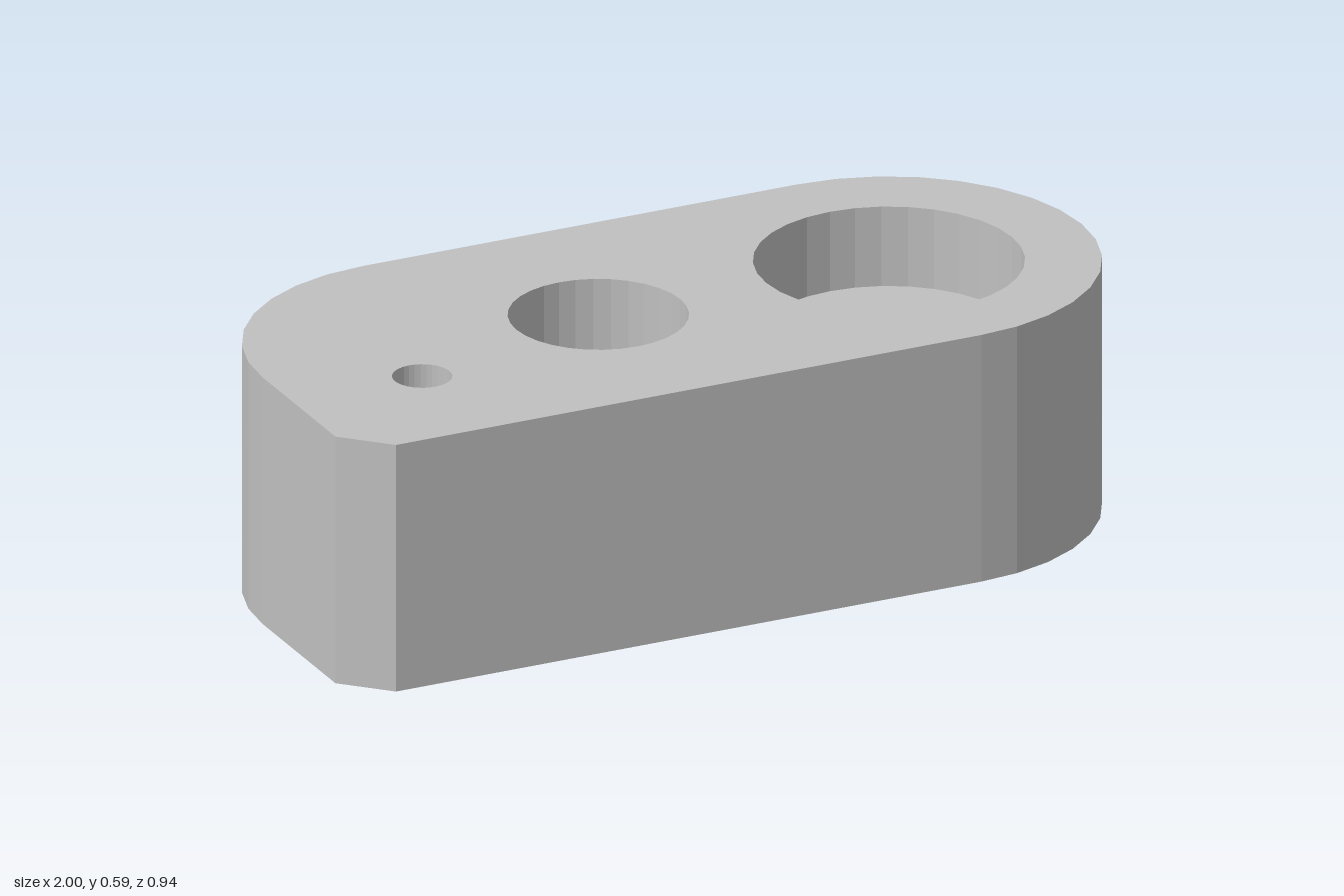
import * as THREE from 'three';

const H = 0.59, R = 0.47, CX = 0.53;        // block height, end radius, end centre
const SLOT_H = 0.175, SLOT_END = -0.213;    // slot height and its blind end
const SLOT_L = -0.748, SLOT_R = -0.613;     // slot sides
const POCKET = 0.19;                        // depth of both blind pockets

const steel = new THREE.MeshStandardMaterial({ color: 0xc0c0c0 });
steel.name = 'grey';

// Plan points are (x, -z), counter-clockwise seen from above.
function arc(cx, cy, r, from, to, n) {
  const pts = [];
  for (let i = 0; i <= n; i++) {
    const a = THREE.MathUtils.degToRad(from + (to - from) * i / n);
    pts.push(new THREE.Vector2(cx + r * Math.cos(a), cy + r * Math.sin(a)));
  }
  return pts;
}
const circle = (cx, cy, r) => arc(cx, cy, r, 0, 360, 32).slice(0, -1);
const v = (x, y) => new THREE.Vector2(x, y);

// Vertical faceted wall along a closed loop; inward for holes
function wall(name, loop, y0, y1, inward = false) {
  const pts = inward ? [...loop].reverse() : loop;
  const pos = [];
  pts.forEach((a, i) => {
    const b = pts[(i + 1) % pts.length];
    pos.push(a.x, y0, -a.y, b.x, y0, -b.y, b.x, y1, -b.y);
    pos.push(a.x, y0, -a.y, b.x, y1, -b.y, a.x, y1, -a.y);
  });
  const geo = new THREE.BufferGeometry();
  geo.setAttribute('position', new THREE.Float32BufferAttribute(pos, 3));
  geo.computeVertexNormals();
  const mesh = new THREE.Mesh(geo, steel);
  mesh.name = name;
  return mesh;
}

// Horizontal face with holes, facing up or down
function cap(name, loop, holes, y, down = false) {
  const shape = new THREE.Shape(loop);
  shape.holes = holes.map((h) => new THREE.Path(h));
  const geo = new THREE.ShapeGeometry(shape);
  geo.rotateX(-Math.PI / 2);
  if (down) {
    const idx = geo.index.array;
    for (let i = 0; i < idx.length; i += 3) [idx[i], idx[i + 1]] = [idx[i + 1], idx[i]];
    geo.computeVertexNormals();
  }
  const mesh = new THREE.Mesh(geo, steel);
  mesh.name = name;
  mesh.position.y = y;
  return mesh;
}

export function createModel() {
  const model = new THREE.Group();
  model.name = 'bracketBlock';

  // Outline: round end, one rounded back corner, one chamfered front corner
  const corner = arc(-CX, 0, R, 90, 180, 8);
  const before = [v(-0.9, -R), ...arc(CX, 0, R, -90, 90, 16)];
  const outline = [...before, ...corner, v(-1, -0.37)];

  // Where the slot sides meet the facets of the rounded corner
  const onCorner = (x) => {
    const i = corner.findIndex((p) => p.x < x);
    const a = corner[i - 1], b = corner[i];
    return a.clone().lerp(b, (x - a.x) / (b.x - a.x));
  };
  const mouthR = onCorner(SLOT_R), mouthL = onCorner(SLOT_L);
  const endR = v(SLOT_R, SLOT_END), endL = v(SLOT_L, SLOT_END);
  const slotted = [
    ...before, ...corner.filter((p) => p.x > SLOT_R), mouthR, endR, endL, mouthL,
    ...corner.filter((p) => p.x < SLOT_L), v(-1, -0.37),
  ];
  const slotPlan = [endL, endR, mouthR,
    ...corner.filter((p) => p.x < SLOT_R && p.x > SLOT_L), mouthL];

  const pocket = circle(CX, 0, 0.3);
  const bore = circle(-0.18, 0, 0.2);
  const pin = circle(-0.68, -0.145, 0.0665);

  model.add(
    // Outer body
    cap('topFace', outline, [pocket, bore, pin], H),
    cap('bottomFace', slotted, [pocket, bore], 0, true),
    wall('upperSides', outline, SLOT_H, H),
    wall('lowerSidesAndSlot', slotted, 0, SLOT_H),
    cap('slotCeiling', slotPlan, [pin], SLOT_H, true),
    // Through holes
    wall('centreBore', bore, 0, H, true),
    wall('pinHole', pin, SLOT_H, H, true),
    // Blind pockets above and below a solid web
    wall('topPocketWall', pocket, H - POCKET, H, true),
    cap('topPocketFloor', pocket, [], H - POCKET),
    wall('bottomPocketWall', pocket, 0, POCKET, true),
    cap('bottomPocketFloor', pocket, [], POCKET, true),
  );
  return model;
}
